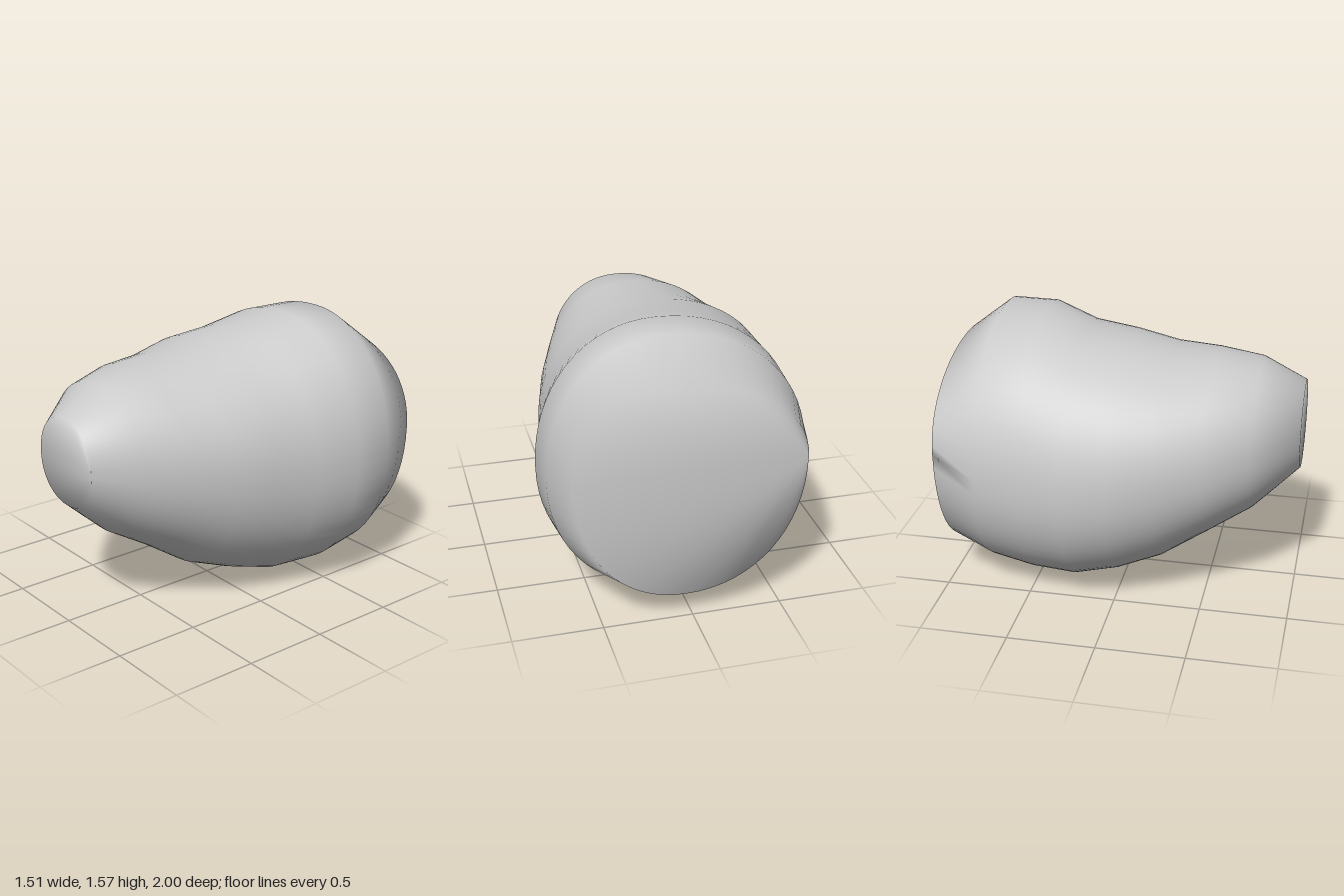
import * as THREE from 'three';

// Cross-sections from front to back:
// z, left edge, right edge, bottom, top, height of widest point, x of crown, x of keel
const SECTIONS = [
  [1.00, -0.21, 0.285, 0.73, 1.23, 0.97, 0.04, 0.04],
  [0.75, -0.46, 0.41, 0.505, 1.36, 0.92, 0.00, 0.00],
  [0.50, -0.60, 0.50, 0.35, 1.40, 0.87, -0.03, -0.02],
  [0.25, -0.69, 0.585, 0.18, 1.41, 0.83, -0.03, -0.02],
  [0.00, -0.76, 0.645, 0.08, 1.465, 0.79, -0.03, -0.02],
  [-0.25, -0.76, 0.685, 0.005, 1.495, 0.76, 0.00, 0.00],
  [-0.50, -0.735, 0.755, 0.01, 1.57, 0.77, 0.08, 0.02],
  [-0.75, -0.70, 0.74, 0.055, 1.57, 0.80, 0.10, 0.03],
  [-1.00, -0.625, 0.65, 0.145, 1.37, 0.90, 0.14, 0.04],
];
const SIDES = 64;
const ROUNDNESS = 2 / 2.12; // slightly fuller than an ellipse

const bulge = (t) => Math.sign(t) * Math.pow(Math.abs(t), ROUNDNESS);

// Each ring joins four quarter curves that meet at its widest, highest and lowest points
function ringPoint([z, x0, x1, y0, y1, midY, crownX, keelX], j) {
  const angle = (j / SIDES) * Math.PI * 2;
  const c = bulge(Math.cos(angle));
  const s = bulge(Math.sin(angle));
  const cx = s >= 0 ? crownX : keelX;
  return [
    cx + c * (c >= 0 ? x1 - cx : cx - x0),
    midY + s * (s >= 0 ? y1 - midY : midY - y0),
    z,
  ];
}

function bodyGeometry() {
  const positions = [];
  const index = [];
  for (const section of SECTIONS) {
    for (let j = 0; j < SIDES; j++) positions.push(...ringPoint(section, j));
  }

  // Skin between neighbouring rings
  const last = SECTIONS.length - 1;
  for (let i = 0; i < last; i++) {
    for (let j = 0; j < SIDES; j++) {
      const a = i * SIDES + j;
      const b = i * SIDES + ((j + 1) % SIDES);
      index.push(a, a + SIDES, b, b, a + SIDES, b + SIDES);
    }
  }

  // Flat ends, fanned from one side point and sharing the skin's smooth normals
  const back = last * SIDES;
  const hub = SIDES / 2;
  for (let k = 1; k < SIDES - 1; k++) {
    index.push(0, k, k + 1);
    index.push(back + hub, back + ((hub + k + 1) % SIDES), back + ((hub + k) % SIDES));
  }

  const geometry = new THREE.BufferGeometry();
  geometry.setAttribute('position', new THREE.Float32BufferAttribute(positions, 3));
  geometry.setIndex(index);
  geometry.computeVertexNormals();
  return geometry;
}

export function createModel() {
  const model = new THREE.Group();
  model.name = 'taperedBoulder';
  const body = new THREE.Mesh(
    bodyGeometry(),
    new THREE.MeshStandardMaterial({ color: 0xcccccc }),
  );
  body.name = 'body';
  model.add(body);
  return model;
}
